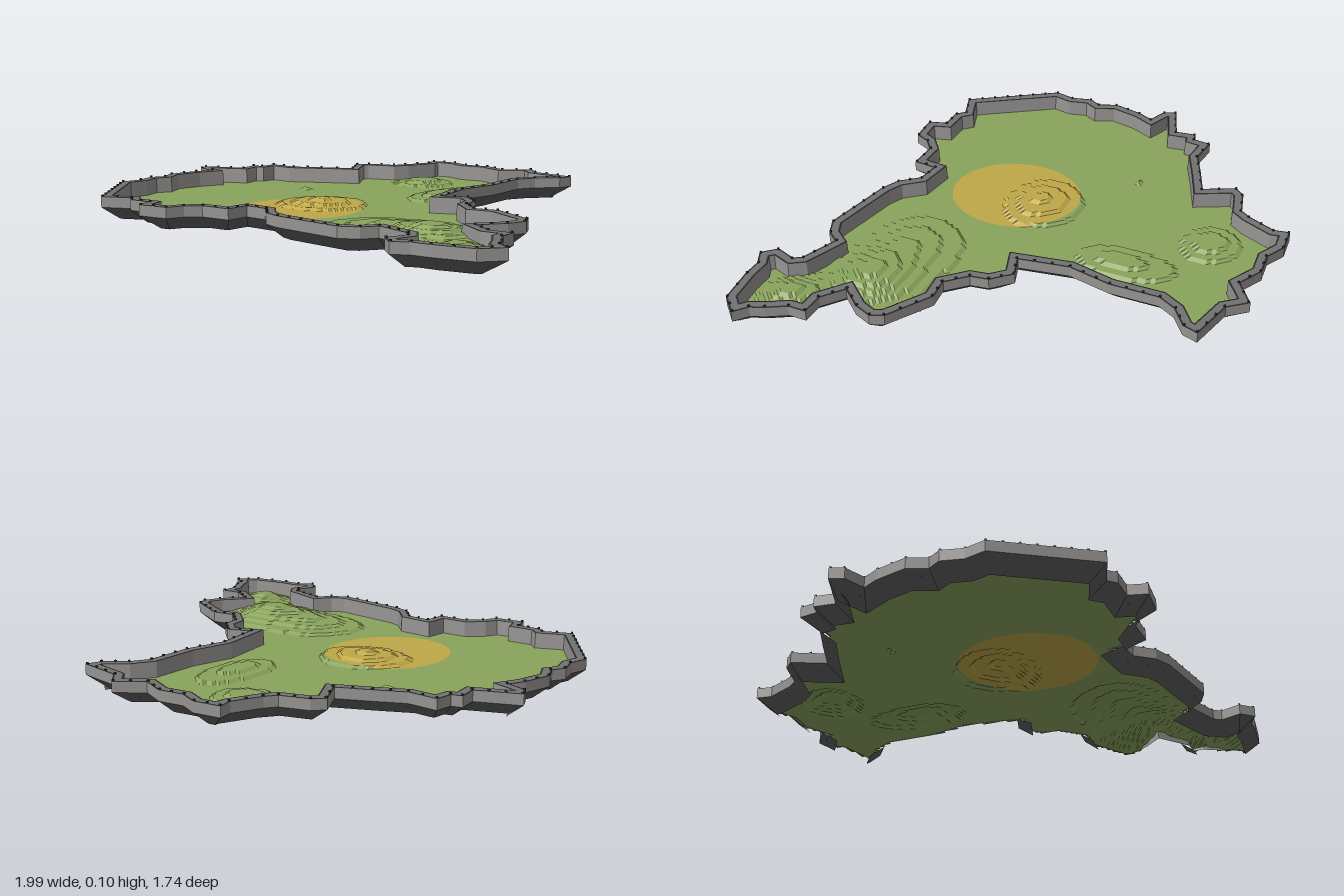
import * as THREE from 'three';

const material = (name, color, extra = {}) => {
  const m = new THREE.MeshStandardMaterial({ color, flatShading: true, ...extra });
  m.name = name;
  return m;
};

// Coastline in hundredths of a unit, x and z in turn
const OUTLINE = [
  -29, -86, -18, -87, -10, -83, 0, -84, 10, -79, 20, -86, 26, -79, 44, -75, 42, -69, 34, -63,
  30, -56, 30, -37, 26, -20, 29, -1, 38, -4, 45, 3, 46, 10, 53, 17, 62, 16, 79, 26,
  81, 31, 78, 38, 71, 46, 79, 52, 88, 52, 88, 59, 92, 66, 94, 71, 99, 75, 92, 82,
  77, 84, 70, 84, 64, 87, 59, 82, 62, 74, 60, 71, 46, 66, 42, 71, 35, 74, 6, 69,
  -1, 66, -7, 59, -16, 58, -17, 67, -29, 67, -34, 71, -37, 77, -49, 78, -51, 71, -60, 71,
  -63, 68, -74, 72, -96, 39, -94, 31, -96, 23, -93, 18, -96, 11, -93, -1, -90, -7, -98, -10,
  -100, -15, -84, -21, -85, -29, -81, -30, -80, -37, -68, -36, -57, -41, -45, -46, -51, -58, -47, -62,
  -36, -65, -33, -69, -28, -80,
];
const coast = [];
for (let i = 0; i < OUTLINE.length; i += 2) coast.push(new THREE.Vector2(OUTLINE[i] / 100, OUTLINE[i + 1] / 100));

// Coastline moved inward by a distance, with mitred corners
function inset(distance) {
  const n = coast.length;
  const normal = (a, b) => new THREE.Vector2(a.y - b.y, b.x - a.x).normalize();
  return coast.map((p, i) => {
    const n1 = normal(coast[(i + n - 1) % n], p);
    const n2 = normal(p, coast[(i + 1) % n]);
    const k = distance / Math.max(0.6, 1 + n1.dot(n2));
    return p.clone().addScaledVector(n1.add(n2), k);
  });
}

// Closed strip between two inset coastlines at two heights
function strip(name, mat, d0, y0, d1, y1) {
  const a = inset(d0), b = inset(d1), pos = [];
  a.forEach((p, i) => {
    const j = (i + 1) % a.length;
    const A = [a[i].x, y0, a[i].y], B = [a[j].x, y0, a[j].y];
    const C = [b[j].x, y1, b[j].y], D = [b[i].x, y1, b[i].y];
    pos.push(...A, ...D, ...C, ...A, ...C, ...B);
  });
  return mesh(name, pos, mat);
}

function mesh(name, pos, mat) {
  const g = new THREE.BufferGeometry();
  g.setAttribute('position', new THREE.Float32BufferAttribute(pos, 3));
  g.computeVertexNormals();
  const m = new THREE.Mesh(g, mat);
  m.name = name;
  return m;
}

function contains(poly, x, z) {
  let inside = false;
  for (let i = 0, j = poly.length - 1; i < poly.length; j = i++) {
    const a = poly[i], b = poly[j];
    if ((a.y > z) !== (b.y > z) && x < ((b.x - a.x) * (z - a.y)) / (b.y - a.y) + a.x) inside = !inside;
  }
  return inside;
}

// Hills: x, z, radius x, radius z, height; steeper toward the front
const HILLS = [
  [0.56, 0.47, 0.16, 0.17, 0.05], [0.3, 0.44, 0.2, 0.2, 0.028], [0.76, 0.67, 0.1, 0.12, 0.045],
  [-0.18, 0.12, 0.16, 0.16, 0.032], [-0.17, -0.58, 0.11, 0.12, 0.03], [0.08, -0.32, 0.1, 0.22, 0.026],
  [-0.48, -0.18, 0.03, 0.03, 0.012],
];
const BASE = 0.03, STEP = 0.01;
function height(x, z) {
  let h = 0;
  for (const [cx, cz, rx, rz, top] of HILLS) {
    const dz = (z - cz) / (z > cz ? rz * 0.75 : rz);
    h += top * Math.exp(-(((x - cx) / rx) ** 2) - dz * dz);
  }
  return BASE + Math.min(7, Math.floor(h / STEP)) * STEP;
}

// Round marked area
const ZONE = { x: -0.2, z: 0.23, rx: 0.235, rz: 0.26 };
const zoneRadius = (x, z) => Math.hypot((x - ZONE.x) / ZONE.rx, (z - ZONE.z) / ZONE.rz);

// Terraced ground, with grid points pulled onto the edge of the marked area
function terrain(grass, sand) {
  const cell = 0.016, n = 126, edge = inset(0.03), land = [], zone = [];
  const point = (i, j) => {
    let x = -1 + i * cell, z = -1 + j * cell;
    const y = height(x, z), r = zoneRadius(x, z);
    if (Math.abs(r - 1) < (0.5 * cell) / 0.235) {
      x = ZONE.x + (x - ZONE.x) / r;
      z = ZONE.z + (z - ZONE.z) / r;
    }
    return [x, y, z];
  };
  for (let i = 0; i < n; i++) {
    for (let j = 0; j < n; j++) {
      if (!contains(edge, -1 + (i + 0.5) * cell, -1 + (j + 0.5) * cell)) continue;
      const A = point(i, j), B = point(i, j + 1), C = point(i + 1, j + 1), D = point(i + 1, j);
      // Split along the diagonal that follows the marked edge
      const quadrant = (A[0] - ZONE.x) * (A[2] - ZONE.z) > 0;
      const tris = quadrant ? [[A, B, D], [B, C, D]] : [[A, B, C], [A, C, D]];
      for (const t of tris) {
        const cx = (t[0][0] + t[1][0] + t[2][0]) / 3, cz = (t[0][2] + t[1][2] + t[2][2]) / 3;
        (zoneRadius(cx, cz) < 1 ? zone : land).push(...t.flat());
      }
    }
  }
  return [mesh('terrain', land, grass), mesh('markedZone', zone, sand)];
}

export function createModel() {
  const group = new THREE.Group();
  group.name = 'terrainPlate';
  const two = { side: THREE.DoubleSide };
  const grass = material('grass green', 0x8aa45c, two);
  const sand = material('zone yellow', 0xc0a848, two);
  const stone = material('wall grey', 0x969492);
  const rim = material('rim grey', 0x727272);
  const under = material('underside grey', 0x605f5e);
  const dark = material('edge dark grey', 0x363636);

  group.add(...terrain(grass, sand));

  // Border wall, from the underside up and over to the inner face
  group.add(
    strip('wallTaper', under, 0.06, 0, 0, 0.05),
    strip('wallOuterFace', stone, 0, 0.05, 0, 0.09),
    strip('rimOuterEdge', dark, 0, 0.09, 0.006, 0.09),
    strip('rimTop', rim, 0.006, 0.09, 0.031, 0.09),
    strip('rimInnerEdge', dark, 0.031, 0.09, 0.037, 0.09),
    strip('wallInnerFace', stone, 0.037, 0.09, 0.039, BASE - 0.002),
  );

  // Small studs along the wall top
  const studs = new THREE.Group();
  studs.name = 'wallStuds';
  const studShape = new THREE.BoxGeometry(0.007, 0.007, 0.007);
  const line = inset(0.005);
  line.forEach((p, i) => {
    const q = line[(i + 1) % line.length];
    const count = Math.max(1, Math.round(p.distanceTo(q) / 0.06));
    for (let k = 0; k < count; k++) {
      const s = new THREE.Mesh(studShape, dark);
      const at = p.clone().lerp(q, k / count);
      s.position.set(at.x, 0.0925, at.y);
      s.name = 'stud';
      studs.add(s);
    }
  });
  group.add(studs);
  return group;
}
